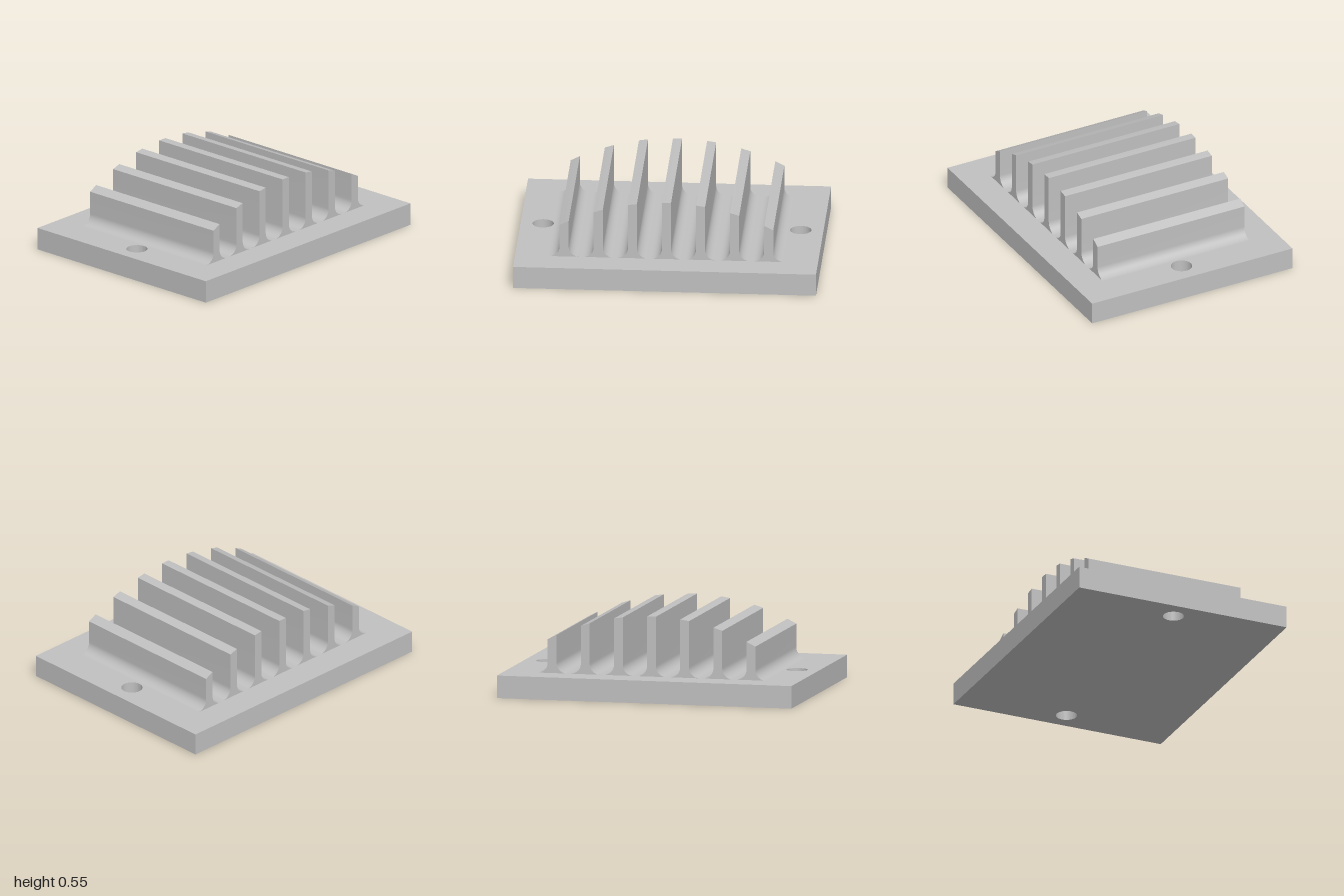
import * as THREE from 'three';
import { toCreasedNormals } from 'three/addons/utils/BufferGeometryUtils.js';

const BASE_TOP = 0.15;
const FIN_HALF = 0.03;   // half the fin thickness
const FILLET = 0.07;     // radius of the fin roots
const FIN_DEPTH = 1.1;
const PITCH = 0.225;
const CROWN = 1.5;       // radius of the arc that trims the fin tops

const crownHeight = x => 0.55 - CROWN + Math.sqrt(CROWN * CROWN - x * x);

// Rectangular plate with two mounting holes
function baseGeometry() {
  const shape = new THREE.Shape();
  shape.moveTo(-1, -0.75).lineTo(1, -0.75).lineTo(1, 0.75).lineTo(-1, 0.75).closePath();
  for (const x of [-0.85, 0.85]) {
    shape.holes.push(new THREE.Path().absarc(x, 0, 0.07, 0, Math.PI * 2, true));
  }
  const geo = new THREE.ExtrudeGeometry(shape, { depth: BASE_TOP, bevelEnabled: false, curveSegments: 32 });
  geo.rotateX(-Math.PI / 2);
  return toCreasedNormals(geo, 0.6);
}

// Upright fin with filleted roots and a top trimmed by the crown arc
function finGeometry(cx) {
  const shape = new THREE.Shape();
  const foot = FIN_HALF + FILLET;
  shape.moveTo(-foot, 0);
  shape.absarc(-foot, FILLET, FILLET, -Math.PI / 2, 0, false);
  for (let i = 0; i <= 4; i++) {
    const x = -FIN_HALF + (i / 4) * FIN_HALF * 2;
    shape.lineTo(x, crownHeight(cx + x) - BASE_TOP);
  }
  shape.lineTo(FIN_HALF, FILLET);
  shape.absarc(foot, FILLET, FILLET, Math.PI, Math.PI * 1.5, false);
  const geo = new THREE.ExtrudeGeometry(shape, { depth: FIN_DEPTH, bevelEnabled: false, curveSegments: 12 });
  geo.translate(0, 0, -FIN_DEPTH / 2);
  return toCreasedNormals(geo, 0.6);
}

export function createModel() {
  const model = new THREE.Group();
  model.name = 'heatSink';
  const metal = new THREE.MeshStandardMaterial({ color: 0xc0c0c0 });
  metal.name = 'grey metal';

  const base = new THREE.Mesh(baseGeometry(), metal);
  base.name = 'basePlate';
  model.add(base);

  // Seven cooling fins
  const fins = new THREE.Group();
  fins.name = 'fins';
  for (let i = -3; i <= 3; i++) {
    const fin = new THREE.Mesh(finGeometry(i * PITCH), metal);
    fin.name = `fin${i + 4}`;
    fin.position.set(i * PITCH, BASE_TOP, 0);
    fins.add(fin);
  }
  model.add(fins);
  return model;
}
